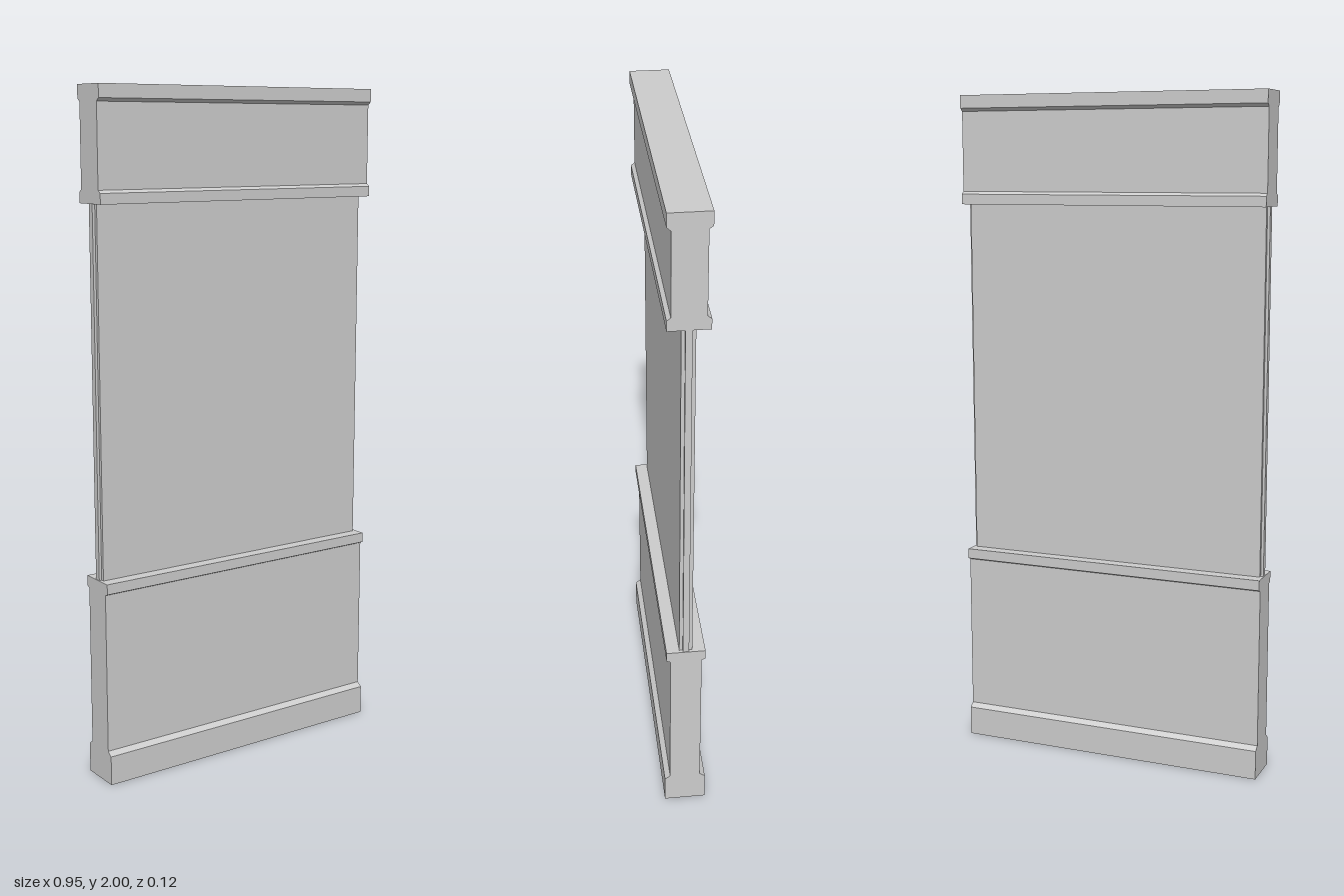
import * as THREE from 'three';

const HALF = 0.475; // half width of the wall
const material = new THREE.MeshStandardMaterial({ color: 0xcccccc, flatShading: true, side: THREE.DoubleSide });

// Sweeps a half profile [z, y], listed upwards and mirrored in z, across the width.
// The underside can be left open.
function molded(name, half, openBottom = false) {
  const outline = [...half, ...half.map(([z, y]) => [-z, y]).reverse()];
  const positions = [];
  const count = openBottom ? outline.length - 1 : outline.length;
  for (let i = 0; i < count; i++) {
    const [z0, y0] = outline[i];
    const [z1, y1] = outline[(i + 1) % outline.length];
    const a = [-HALF, y0, z0], b = [HALF, y0, z0], c = [HALF, y1, z1], d = [-HALF, y1, z1];
    positions.push(...a, ...b, ...c, ...a, ...c, ...d);
  }
  const group = new THREE.Group();
  group.name = name;
  const skin = new THREE.BufferGeometry();
  skin.setAttribute('position', new THREE.Float32BufferAttribute(positions, 3));
  skin.computeVertexNormals();
  const body = new THREE.Mesh(skin, material);
  body.name = name + 'Faces';
  group.add(body);

  // flat ends
  const shape = new THREE.Shape(outline.map(([z, y]) => new THREE.Vector2(z, y)));
  for (const side of [-1, 1]) {
    const geometry = new THREE.ShapeGeometry(shape);
    if (side > 0) geometry.scale(-1, 1, 1);
    geometry.rotateY(side * Math.PI / 2);
    // restore the outward winding of the mirrored end
    if (side > 0) {
      const index = geometry.index;
      for (let i = 0; i < index.count; i += 3) {
        const t = index.getX(i);
        index.setX(i, index.getX(i + 1));
        index.setX(i + 1, t);
      }
      geometry.computeVertexNormals();
    }
    geometry.translate(side * HALF, 0, 0);
    const end = new THREE.Mesh(geometry, material);
    end.name = name + (side > 0 ? 'LeftEnd' : 'RightEnd');
    group.add(end);
  }
  return group;
}

function box(name, w, h, d, y) {
  const mesh = new THREE.Mesh(new THREE.BoxGeometry(w, h, d), material);
  mesh.name = name;
  mesh.position.y = y;
  return mesh;
}

export function createModel() {
  const model = new THREE.Group();
  model.name = 'wallPanel';

  // lower wall with baseboard and sill, hollow underneath
  model.add(molded('lowerWall', [
    [0.062, 0], [0.062, 0.088], [0.046, 0.1], [0.046, 0.575], [0.057, 0.58], [0.057, 0.61],
  ], true));

  // upper wall with lower rail and top cap
  model.add(molded('upperWall', [
    [0.057, 1.68], [0.057, 1.71], [0.046, 1.718], [0.046, 1.953], [0.057, 1.962], [0.057, 2],
  ]));

  // thin middle panel with a narrower tongue showing at each side
  model.add(box('middlePanel', 0.93, 1.07, 0.038, 1.145));
  model.add(box('sideTongue', 0.946, 1.07, 0.018, 1.145));
  return model;
}
